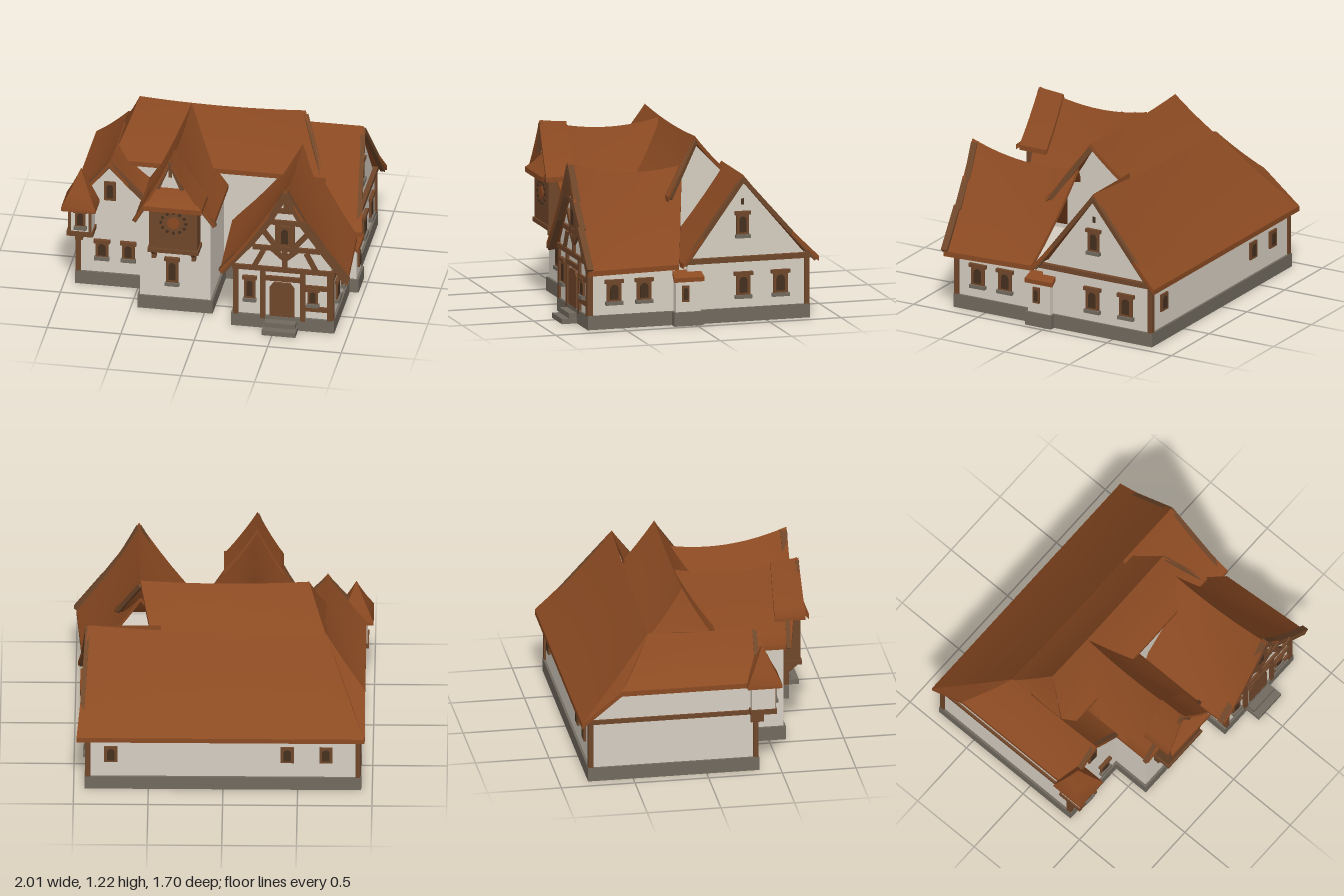
import * as THREE from 'three';
import { toCreasedNormals } from 'three/addons/utils/BufferGeometryUtils.js';

const paint = (name, color, side = THREE.FrontSide) => {
  const m = new THREE.MeshStandardMaterial({ color, side });
  m.name = name;
  return m;
};

export function createModel() {
  const roofTile = paint('roof tile', 0x8b4a22, THREE.DoubleSide);
  const wood = paint('timber', 0x70472a);
  const plaster = paint('plaster', 0xd6cec2);
  const stone = paint('stone', 0x716a5f);
  const glass = paint('dark glass', 0x45301f);
  const V = (a) => new THREE.Vector3(...a);
  const root = new THREE.Group();
  root.name = 'house';

  const add = (name, geo, mat, parent = root) => {
    const m = new THREE.Mesh(geo, mat);
    m.name = name;
    parent.add(m);
    return m;
  };
  // box given by its min and max corners
  const box = (name, a, b, mat, parent) => {
    const g = new THREE.BoxGeometry(b[0] - a[0], b[1] - a[1], b[2] - a[2]);
    g.translate((a[0] + b[0]) / 2, (a[1] + b[1]) / 2, (a[2] + b[2]) / 2);
    return add(name, g, mat, parent);
  };
  // square beam between two points
  const beam = (name, p, q, w = 0.03, mat = wood) => {
    const a = V(p), b = V(q);
    const m = add(name, new THREE.BoxGeometry(w, w, a.distanceTo(b) + w * 0.5), mat);
    m.position.copy(a).add(b).multiplyScalar(0.5);
    m.lookAt(b);
    return m;
  };
  const polygon = (pts) => new THREE.Shape(pts.map((p) => new THREE.Vector2(...p)));
  // gable panel facing +z, its front at z
  const gable = (name, pts, z, mat = plaster, depth = 0.05) => {
    const g = new THREE.ExtrudeGeometry(polygon(pts), { depth, bevelEnabled: false });
    return add(name, g.translate(0, 0, z - depth), mat);
  };
  // gable panel in the z-y plane, spanning x0 to x0 + depth
  const sideGable = (name, pts, x0, depth = 0.05) => {
    const g = new THREE.ExtrudeGeometry(polygon(pts.map(([z, y]) => [-z, y])), { depth, bevelEnabled: false });
    return add(name, g.rotateY(Math.PI / 2).translate(x0, 0, 0), plaster);
  };

  // roof slab from ridge a-b down to eave c-d, with sagging ridge and hollow slope
  const slab = (name, a, b, c, d, sag = 0, hollow = 0.02, thick = 0.035) => {
    const n = 12, m = 6, ring = 2 * (m + 1), pos = [], idx = [];
    for (let i = 0; i <= n; i++) {
      const u = i / n, top = V(a).lerp(V(b), u), low = V(c).lerp(V(d), u);
      for (let k = 0; k < ring; k++) {
        const under = k > m, v = (under ? ring - 1 - k : k) / m;
        const p = top.clone().lerp(low, v);
        p.y -= sag * 4 * u * (1 - u) * (1 - v) + hollow * 4 * v * (1 - v) + (under ? thick : 0);
        pos.push(p.x, p.y, p.z);
      }
    }
    for (let i = 0; i < n; i++) for (let k = 0; k < ring; k++) {
      const p = i * ring + k, q = i * ring + (k + 1) % ring;
      idx.push(p, q, p + ring, q, q + ring, p + ring);
    }
    for (let k = 0; k < m; k++) for (const [o, f] of [[0, 0], [n * ring, 1]]) {
      const p = o + k, q = o + k + 1, r = o + ring - 2 - k, s = o + ring - 1 - k;
      idx.push(...(f ? [p, q, r, p, r, s] : [p, r, q, p, s, r]));
    }
    const g = new THREE.BufferGeometry();
    g.setAttribute('position', new THREE.Float32BufferAttribute(pos, 3));
    g.setIndex(idx);
    return add(name, toCreasedNormals(g, 0.6), roofTile);
  };

  // framed arched window; ry turns it to face its wall
  const win = (x, y, z, ry = 0, w = 0.09, h = 0.14, trim = true) => {
    const g = new THREE.Group();
    g.name = 'window';
    box('windowFrame', [-w / 2, -h / 2, -0.01], [w / 2, h / 2, 0.014], wood, g);
    const pw = w * 0.28, s = new THREE.Shape();
    s.moveTo(-pw, -h * 0.36);
    s.lineTo(pw, -h * 0.36);
    s.lineTo(pw, h * 0.36 - pw);
    s.absarc(0, h * 0.36 - pw, pw, 0, Math.PI, false);
    add('windowPane', new THREE.ExtrudeGeometry(s, { depth: 0.006, bevelEnabled: false }).translate(0, 0, 0.012), glass, g);
    if (trim) {
      box('lintel', [-w * 0.65, h / 2 - 0.01, -0.01], [w * 0.65, h / 2 + 0.015, 0.025], wood, g);
      box('sill', [-w * 0.6, -h / 2 - 0.018, -0.01], [w * 0.6, -h / 2 + 0.006, 0.028], stone, g);
    }
    g.position.set(x, y, z);
    g.rotation.y = ry;
    root.add(g);
  };

  // walls with stone footings: [name, min x, max x, min z, max z, height]
  const e = 0.016;
  for (const [name, x0, x1, z0, z1, h] of [
    ['backWing', -0.91, 0.91, -0.79, 0.05, 0.43],
    ['leftWing', -0.91, -0.44, -0.55, 0.34, 0.63],
    ['centreHall', -0.6, 0.5, -0.3, 0.1, 0.83],
    ['clockWing', -0.44, 0.04, 0, 0.6, 0.7],
    ['doorWing', 0.22, 0.89, 0, 0.73, 0.43],
    ['sidePorch', 0.78, 0.95, -0.03, 0.14, 0.33],
  ]) {
    box(name + 'Wall', [x0, 0.05, z0], [x1, h, z1], plaster);
    box(name + 'Footing', [x0 - e, 0, z0 - e], [x1 + e, 0.095, z1 + e], stone);
  }

  // back wing roof and its right gable
  const P = [-0.69, 0.95, -0.36];
  slab('backRoof', P, [0.91, 1.0, -0.34], [-0.95, 0.43, -0.85], [0.98, 0.43, -0.85], 0.02);
  slab('backRoofCorner', P, P, [-0.95, 0.65, -0.58], [-0.95, 0.43, -0.85], 0, 0.01);
  slab('backRoofFront', [0.42, 1.0, -0.34], [0.91, 1.0, -0.34], [0.42, 0.43, 0.1], [0.98, 0.43, 0.1]);
  sideGable('rightGable', [[0.05, 0.42], [-0.34, 0.95], [-0.79, 0.42]], 0.845);
  sideGable('leftRearWall', [[-0.5, 0.42], [-0.5, 0.66], [-0.56, 0.62], [-0.79, 0.42]], -0.91);
  beam('gableVerge', [0.91, 0.97, -0.34], [0.955, 0.42, 0.08]);
  beam('gableVerge', [0.91, 0.97, -0.34], [0.955, 0.41, -0.83]);
  beam('gableBand', [0.91, 0.425, 0.08], [0.91, 0.425, -0.8], 0.035);

  // left wing roof and gable
  slab('leftRoofOuter', [-0.69, 0.96, 0.38], P, [-0.95, 0.65, 0.36], [-0.95, 0.65, -0.58], 0.02);
  slab('leftRoofInner', [-0.69, 0.96, 0.38], [-0.69, 0.95, -0.2], [-0.43, 0.69, 0.37], [-0.43, 0.69, -0.2], 0.02);
  gable('leftGable', [[-0.91, 0.6], [-0.44, 0.6], [-0.46, 0.66], [-0.69, 0.91], [-0.91, 0.66]], 0.34);
  beam('leftVerge', [-0.69, 0.93, 0.36], [-0.93, 0.64, 0.35]);
  beam('leftVerge', [-0.69, 0.93, 0.36], [-0.44, 0.67, 0.36]);

  // tall centre roof, hipped to the left, gabled to the right
  const L = [-0.57, 1.21, -0.11], R = [0.56, 1.21, -0.11];
  slab('centreRoofFront', L, R, [-0.72, 0.84, 0.13], [0.74, 0.84, 0.13], 0.02);
  slab('centreRoofBack', L, R, [-0.7, 0.91, -0.38], [0.48, 0.93, -0.37], 0.02, 0.01);
  slab('centreRoofHip', L, L, [-0.7, 0.91, -0.38], [-0.73, 0.84, 0.13]);
  sideGable('centreGable', [[0.1, 0.43], [0.1, 0.83], [-0.11, 1.16], [-0.33, 0.93], [-0.33, 0.43]], 0.45);
  beam('centreVerge', [0.56, 1.17, -0.11], [0.71, 0.83, 0.11]);
  beam('centreEave', [0.02, 0.825, 0.11], [0.3, 0.825, 0.11], 0.025);

  // clock wing roof
  const ridgeF = [-0.215, 1.22, 0.73], ridgeB = [-0.215, 1.19, -0.1];
  for (const [x, y] of [[-0.47, 0.7], [0.07, 0.71]]) {
    slab('clockWingRoof', ridgeF, ridgeB, [x, y, 0.65], [x, y, 0.1], 0.06, 0.025);
    beam('clockWingVerge', [x < 0 ? -0.37 : -0.05, 0.85, 0.64], [x, y - 0.025, 0.63]);
  }
  gable('clockWingGable', [[-0.44, 0.68], [0.04, 0.68], [-0.2, 1.08]], 0.6);

  // projecting clock box with pent roof and small gable
  box('clockBox', [-0.355, 0.51, 0.58], [-0.03, 0.87, 0.73], wood);
  box('clockBoxSill', [-0.365, 0.5, 0.58], [-0.02, 0.53, 0.74], wood);
  slab('clockPentRoof', [-0.31, 1.0, 0.67], [-0.12, 1.0, 0.67], [-0.385, 0.87, 0.785], [0.01, 0.87, 0.785], 0, 0.01);
  for (const s of [-1, 1]) {
    const x = -0.19 + s * 0.2;
    slab('clockHood', [-0.215, 1.215, 0.74], [-0.215, 1.2, 0.55], [x, 0.87, 0.76], [x, 0.87, 0.55], 0, 0.015);
    beam('clockHoodVerge', [-0.215, 1.19, 0.73], [-0.215 + s * 0.08, 0.99, 0.72], 0.025);
    const bx = -0.205 + s * 0.135;
    box('clockBracket', [bx - 0.014, 0.4, 0.59], [bx + 0.014, 0.51, 0.64], wood);
    beam('clockBrace', [bx, 0.43, 0.62], [bx, 0.51, 0.71], 0.026);
  }
  gable('clockHoodGable', [[-0.29, 0.98], [-0.14, 0.98], [-0.215, 1.15]], 0.7, plaster, 0.04);
  beam('clockHoodPost', [-0.215, 1.07, 0.7], [-0.215, 1.16, 0.7], 0.022);
  const disc = (name, x, y, r, mat) =>
    add(name, new THREE.CylinderGeometry(r, r, 0.008, 16).rotateX(Math.PI / 2).translate(x, y, 0.732), mat);
  disc('clockCentre', -0.19, 0.73, 0.042, roofTile);
  for (let i = 0; i < 12; i++) {
    const t = i * Math.PI / 6;
    disc('hourMark', -0.19 + 0.085 * Math.cos(t), 0.73 + 0.075 * Math.sin(t), 0.011, glass);
  }

  // door wing roof and gable
  const dF = [0.58, 1.09, 0.79], dB = [0.56, 1.02, -0.02];
  slab('doorRoofLeft', dF, dB, [0.14, 0.45, 0.8], [0.1, 0.45, 0.12], 0.06, 0.03);
  slab('doorRoofRight', dF, dB, [1.0, 0.42, 0.77], [0.95, 0.42, 0.12], 0.06, 0.03);
  gable('doorGable', [[0.22, 0.42], [0.89, 0.42], [0.88, 0.5], [0.58, 1.0], [0.24, 0.5]], 0.73);
  const verge = [[0.58, 1.05], [0.47, 0.84], [0.35, 0.67], [0.15, 0.43]];
  for (let i = 0; i < 3; i++) {
    const [p, q] = [verge[i], verge[i + 1]];
    beam('doorVerge', [...p, 0.77], [...q, 0.77], 0.045);
    beam('doorVerge', [1.16 - p[0], p[1], 0.77], [1.16 - q[0] - (i === 2 ? 0.02 : 0), q[1], 0.76], 0.045);
  }

  // timber framing on the door front
  const frame = [
    [0.22, 0.45, 0.9, 0.45], [0.36, 0.61, 0.8, 0.61], [0.48, 0.81, 0.68, 0.81], [0.52, 0.9, 0.64, 0.9],
    [0.235, 0.1, 0.235, 0.45], [0.42, 0.08, 0.42, 0.45], [0.69, 0.08, 0.69, 0.45], [0.875, 0.1, 0.875, 0.45],
    [0.42, 0.38, 0.69, 0.38], [0.69, 0.33, 0.88, 0.33], [0.69, 0.17, 0.88, 0.17],
    [0.57, 0.46, 0.57, 0.62], [0.57, 0.53, 0.48, 0.61], [0.57, 0.53, 0.66, 0.61],
    [0.52, 0.61, 0.43, 0.73], [0.62, 0.61, 0.72, 0.73], [0.52, 0.62, 0.52, 0.81], [0.62, 0.62, 0.62, 0.81],
    [0.36, 0.46, 0.42, 0.58], [0.78, 0.46, 0.72, 0.58], [0.58, 0.9, 0.58, 1.0],
  ];
  for (const [x0, y0, x1, y1] of frame) beam('timberFrame', [x0, y0, 0.73], [x1, y1, 0.73], 0.034);

  // arched door and steps
  const arch = polygon([[0.465, 0.07], [0.635, 0.07], [0.635, 0.31], [0.605, 0.35], [0.495, 0.35], [0.465, 0.31]]);
  add('door', new THREE.ExtrudeGeometry(arch, { depth: 0.02, bevelEnabled: false }).translate(0, 0, 0.725), wood);
  box('lowerStep', [0.43, 0, 0.7], [0.66, 0.035, 0.85], stone);
  box('upperStep', [0.44, 0, 0.7], [0.65, 0.07, 0.8], stone);

  // side porch roof
  slab('porchRoof', [0.78, 0.43, 0.13], [0.78, 0.43, -0.03], [0.965, 0.33, 0.16], [0.965, 0.33, -0.055], 0, 0, 0.03);

  // corner turret on the left
  box('turretWall', [-0.955, 0.43, 0.3], [-0.795, 0.65, 0.46], plaster);
  box('turretFloor', [-0.965, 0.42, 0.29], [-0.785, 0.455, 0.47], wood);
  const cone = new THREE.LatheGeometry(
    [[0.165, 0.62], [0.165, 0.645], [0.09, 0.75], [0.04, 0.83], [0, 0.9]].map((p) => new THREE.Vector2(...p)), 4, Math.PI / 4);
  add('turretRoof', toCreasedNormals(cone, 0.5).translate(-0.88, 0, 0.385), roofTile);
  box('turretBracket', [-0.92, 0.35, 0.3], [-0.87, 0.43, 0.39], wood);
  for (const x of [-0.945, -0.805]) beam('turretPost', [x, 0.45, 0.455], [x, 0.63, 0.455], 0.018);

  // corner posts and bands
  for (const [x, z, h] of [[-0.905, -0.785, 0.43], [0.905, -0.785, 0.43], [-0.905, 0.335, 0.42], [0.885, 0.725, 0.42]])
    beam('cornerPost', [x, 0.1, z], [x, h, z], 0.035);
  beam('leftBand', [-0.91, 0.425, -0.79], [-0.91, 0.425, 0.33]);
  beam('backBand', [-0.9, 0.41, -0.79], [0.9, 0.41, -0.79]);
  beam('doorWingBand', [0.89, 0.41, 0.72], [0.89, 0.41, 0.14]);

  // front windows
  for (const x of [-0.745, -0.565]) win(x, 0.27, 0.34, 0, 0.085, 0.12);
  win(-0.69, 0.72, 0.34, 0, 0.08, 0.14, false);
  win(-0.22, 0.295, 0.6, 0, 0.08, 0.18);
  win(0.33, 0.29, 0.73, 0, 0.075, 0.16);
  win(0.76, 0.26, 0.73, 0, 0.07, 0.11);
  win(0.57, 0.71, 0.735, 0, 0.085, 0.15, false);
  win(-0.87, 0.555, 0.46, 0, 0.07, 0.12);
  // right side windows
  const right = Math.PI / 2;
  for (const z of [0.56, 0.35]) win(0.89, 0.25, z, right, 0.1, 0.14);
  for (const z of [-0.34, -0.6]) win(0.91, 0.25, z, right, 0.1, 0.15);
  win(0.895, 0.66, -0.34, right, 0.085, 0.15);
  win(0.95, 0.22, 0.075, right, 0.05, 0.11, false);
  beam('gableVent', [0.893, 0.8, -0.34], [0.893, 0.83, -0.34], 0.02, glass);
  // back windows
  for (const x of [0.75, -0.43, -0.69]) win(x, 0.27, -0.79, Math.PI, 0.09, 0.12, false);

  return root;
}
